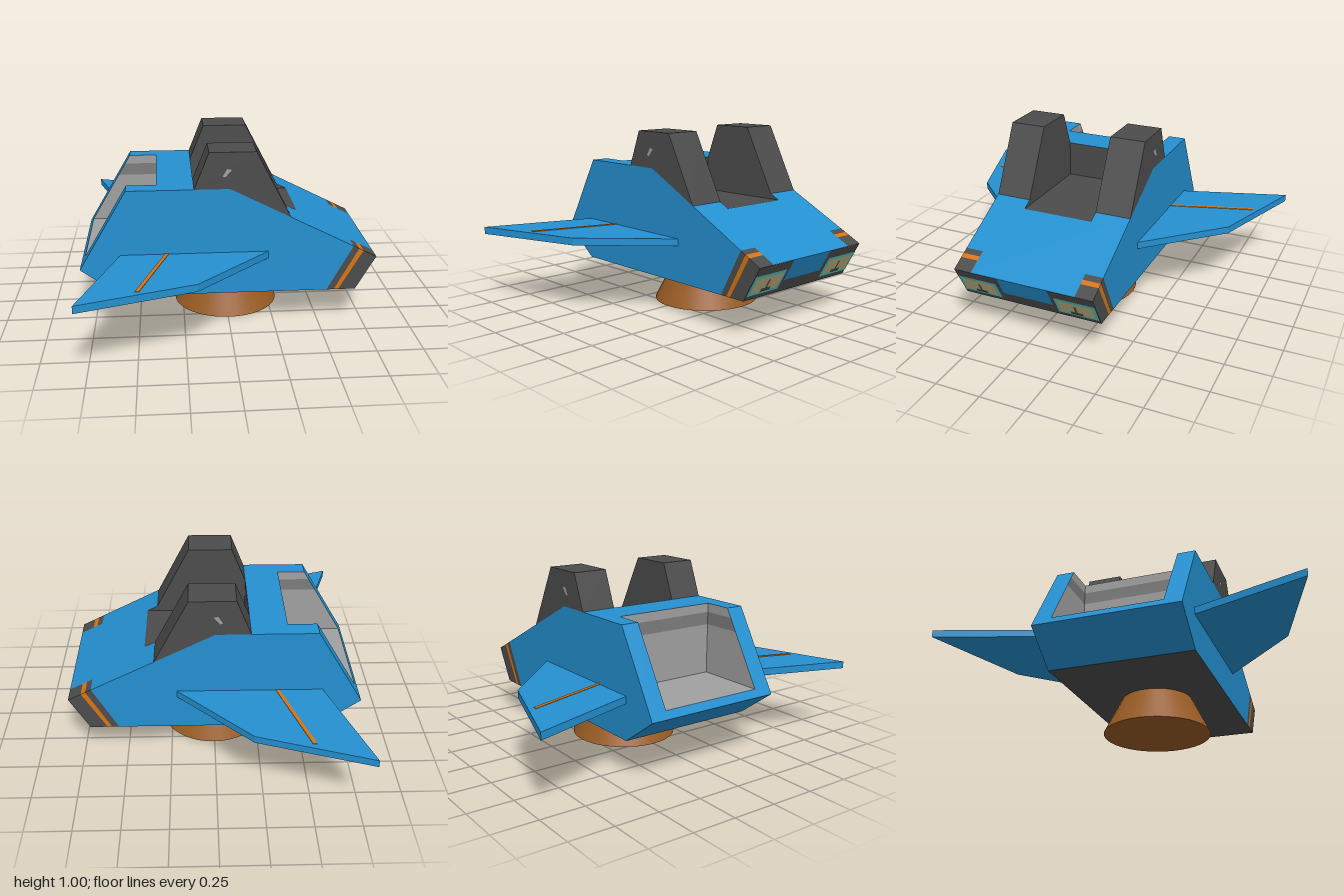
import * as THREE from 'three';

const mat = (name, color) => {
  const m = new THREE.MeshStandardMaterial({ color });
  m.name = name;
  return m;
};

export function createModel() {
  const blue = mat('hull blue', 0x2490d0);
  const dark = mat('dark grey', 0x4c4c4c);
  const grey = mat('light grey', 0xa0a0a0);
  const midGrey = mat('mid grey', 0x7c7c7c);
  const orange = mat('orange', 0xd87412);
  const teal = mat('teal', 0x55c4be);
  const tan = mat('lamp tan', 0xbfb484);
  const brown = mat('brown', 0x985b24);

  const model = new THREE.Group();
  const part = (name) => {
    const g = new THREE.Group();
    g.name = name;
    model.add(g);
    return g;
  };
  const add = (group, name, geometry, material) => {
    const m = new THREE.Mesh(geometry, material);
    m.name = name;
    group.add(m);
    return m;
  };
  const shapeOf = (pts) => new THREE.Shape(pts.map((p) => new THREE.Vector2(...p)));

  // Quad sweeping the profile edge a-b across z; it faces the right of a-b
  const strip = (group, name, material, a, b, z0, z1) => {
    const geo = new THREE.BufferGeometry();
    geo.setAttribute('position', new THREE.Float32BufferAttribute(
      [...a, z1, ...a, z0, ...b, z0, ...b, z1], 3));
    geo.setIndex([0, 1, 2, 0, 2, 3]);
    geo.computeVertexNormals();
    return add(group, name, geo, material);
  };
  const strips = (group, name, material, a, b, z0, z1) => {
    strip(group, name, material, a, b, z0, z1);
    strip(group, name, material, a, b, -z1, -z0);
  };
  // Flat panels at +z and -z, facing outward (dir 1) or inward (dir -1)
  const sides = (group, name, material, pts, z, dir = 1) => {
    for (const s of [1, -1]) {
      const geo = new THREE.ShapeGeometry(shapeOf(pts));
      if (s * dir < 0) {
        geo.setIndex([...geo.index.array].reverse());
        geo.computeVertexNormals();
      }
      geo.translate(0, 0, s * z);
      add(group, name, geo, material);
    }
  };

  const top = (x) => [x, 0.8 - x * 0.506];                  // sloping bonnet
  const rear = (y) => [-0.55 - (0.8 - y) * 0.591, y];       // sloping tail
  const nose = (y, lift = 0) => [0.70 + (y - 0.2) * 0.579 + lift, y];

  // Hull
  const hull = part('hull');
  const W = 0.4;
  strip(hull, 'underside', dark, [-0.59, 0.2], [0.70, 0.2], -W, W);
  strip(hull, 'bonnet', blue, top(0.81), top(0.39), -0.3, 0.3);
  strips(hull, 'bonnetEdge', blue, top(0.68), top(0.39), 0.3, W);
  strips(hull, 'bonnetShoulder', blue, top(0.39), top(0), 0.2, W);
  strip(hull, 'deck', blue, [-0.19, 0.8], [-0.39, 0.8], -W, W);
  strips(hull, 'rearDeck', blue, [-0.39, 0.8], [-0.55, 0.8], 0.3, W);
  strips(hull, 'tailEdge', blue, rear(0.8), rear(0.4), 0.3, W);
  strip(hull, 'tailSill', blue, rear(0.4), [-0.81, 0.36], -W, W);
  strip(hull, 'lowerTail', blue, [-0.81, 0.36], [-0.59, 0.2], -W, W);
  sides(hull, 'flank', blue,
    [[-0.59, 0.2], [0.54, 0.2], top(0.68), [0, 0.8], [-0.55, 0.8], [-0.81, 0.36]], W);

  // Nose with striped corners
  const noseGroup = part('nose');
  const low = [0.54, 0.58, 0.605, 0.70], high = [0.68, 0.712, 0.737, 0.81];
  [dark, orange, dark].forEach((m, i) => {
    sides(noseGroup, 'noseBand', m,
      [[low[i], 0.2], [low[i + 1], 0.2], top(high[i + 1]), top(high[i])], W);
    strips(noseGroup, 'noseCornerBand', m, top(high[i + 1]), top(high[i]), 0.3, W);
  });
  strips(noseGroup, 'noseCheek', dark, nose(0.2), nose(0.39), 0.145, W);
  strip(noseGroup, 'noseChin', dark, nose(0.2), nose(0.27), -0.145, 0.145);
  strip(noseGroup, 'nosePanel', blue, nose(0.27), nose(0.39), -0.145, 0.145);

  // Headlamps
  const lamps = part('headlamps');
  const lampPlate = (name, m, y0, y1, z0, z1, lift) =>
    strips(lamps, name, m, nose(y0, lift), nose(y1, lift), z0, z1);
  lampPlate('lampFrame', teal, 0.225, 0.34, 0.168, 0.397, 0.003);
  lampPlate('lampGlass', tan, 0.24, 0.325, 0.185, 0.38, 0.006);
  lampPlate('lampMarkStem', dark, 0.24, 0.305, 0.273, 0.286, 0.008);
  lampPlate('lampMarkFoot', dark, 0.24, 0.258, 0.245, 0.315, 0.008);

  // Open cockpit between two tall side blocks
  const cockpit = part('cockpit');
  strip(cockpit, 'cockpitFloor', dark, top(0.39), [-0.19, 0.6], -0.2, 0.2);
  strip(cockpit, 'cockpitBack', dark, [-0.19, 0.6], [-0.19, 0.8], -0.2, 0.2);
  const crest = [top(0.33), [0.14, 1], [-0.11, 1], [-0.19, 0.8]];
  for (let i = 0; i < 3; i++) strips(cockpit, 'sideBlock', dark, crest[i], crest[i + 1], 0.2, W);
  sides(cockpit, 'sideBlockOuter', dark, [...crest, [0, 0.8]], W);
  sides(cockpit, 'sideBlockInner', dark, [...crest, [-0.19, 0.6], top(0.39)], 0.2, -1);
  sides(cockpit, 'scuffMark', grey,
    [[-0.04, 0.87], [-0.025, 0.865], [0.01, 0.905], [-0.015, 0.91]], 0.402);

  // Recess cut into the top and tail
  const recess = part('rearRecess');
  strip(recess, 'recessFloor', grey, [-0.39, 0.4], rear(0.4), -0.3, 0.3);
  const levels = [0.8, 0.75, 0.68, 0.4];
  [grey, midGrey, grey].forEach((m, i) => {
    const [y1, y0] = [levels[i], levels[i + 1]];
    strip(recess, 'recessFront', m, [-0.39, y1], [-0.39, y0], -0.3, 0.3);
    sides(recess, 'recessSide', m, [[-0.39, y0], [-0.39, y1], rear(y1), rear(y0)], 0.3, -1);
  });

  // Swept wings with a painted stripe on top
  const slab = (group, name, m, pts, yTop, depth) => {
    const geo = new THREE.ExtrudeGeometry(shapeOf(pts), { depth, bevelEnabled: false });
    geo.rotateX(Math.PI / 2);
    geo.translate(0, yTop, 0);
    add(group, name, geo, m);
  };
  for (const s of [1, -1]) {
    const wing = part(s > 0 ? 'leftWing' : 'rightWing');
    const flip = (pts) => pts.map(([x, z]) => [x, s * z]);
    slab(wing, 'wingPanel', blue,
      flip([[-0.59, 0.4], [0.21, 0.4], [-0.19, 0.8], [-0.787, 1]]), 0.44, 0.04);
    slab(wing, 'wingStripe', orange,
      flip([[-0.35, 0.4], [-0.33, 0.4], [-0.478, 0.865], [-0.5, 0.865]]), 0.443, 0.003);
  }

  // Round flared foot
  const foot = add(model, 'foot', new THREE.CylinderGeometry(0.2, 0.3, 0.2, 40), brown);
  foot.position.set(0.005, 0.1, 0);

  return model;
}
